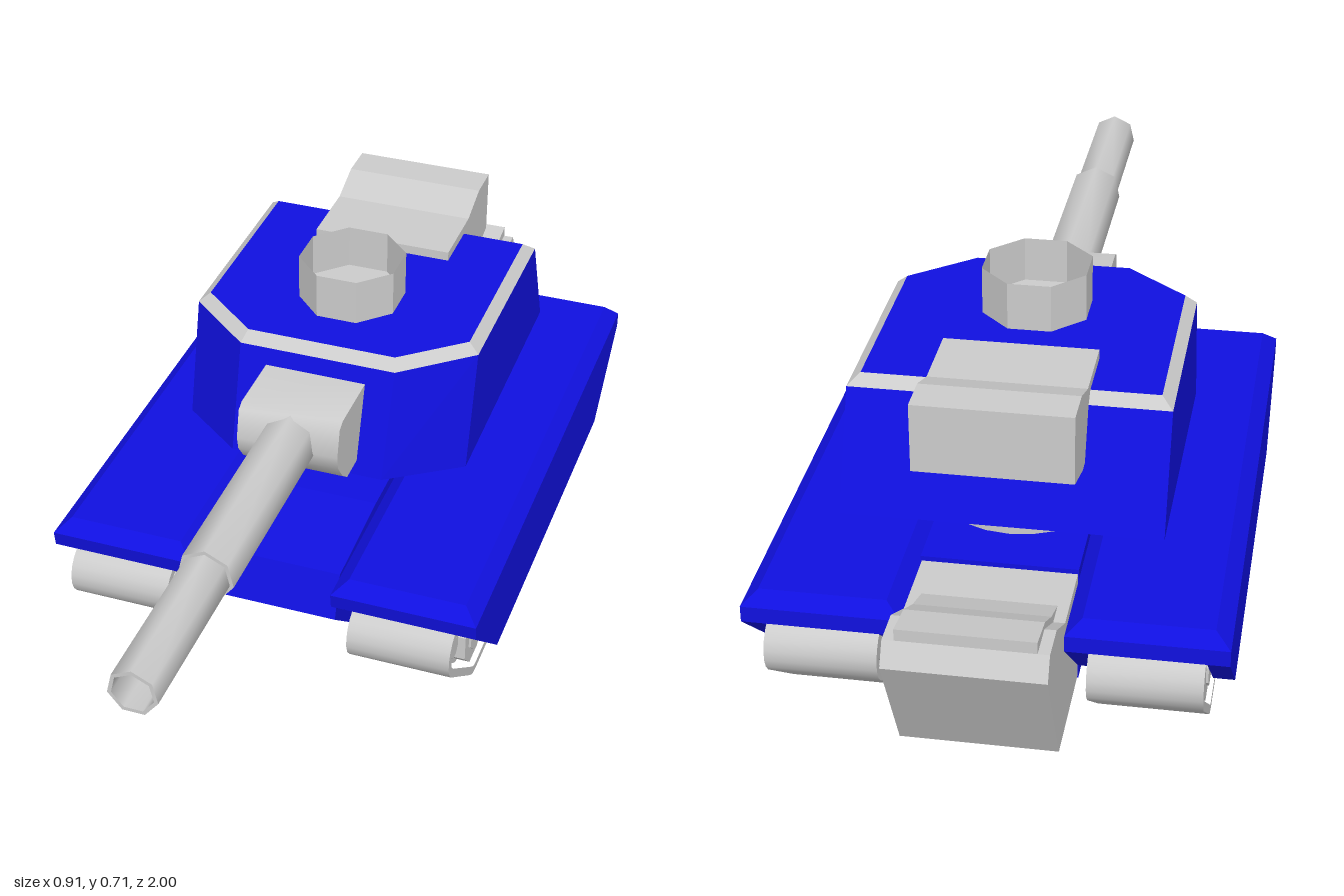
import * as THREE from 'three';
import { toCreasedNormals } from 'three/addons/utils/BufferGeometryUtils.js';

const grey = new THREE.MeshStandardMaterial({ color: 0xcccccc, flatShading: true });
const greySmooth = new THREE.MeshStandardMaterial({ color: 0xcccccc });
const greyOpen = new THREE.MeshStandardMaterial({ color: 0xcccccc, flatShading: true, side: THREE.DoubleSide });
const greyTube = new THREE.MeshStandardMaterial({ color: 0xcccccc, side: THREE.DoubleSide });
const blue = new THREE.MeshStandardMaterial({ color: 0x1010e0, flatShading: true });

const toShape = (pts) => new THREE.Shape(pts.map(([z, y]) => new THREE.Vector2(z, y)));

// Side profile of [z, y] points, extruded from x0 to x1
function prism(pts, x0, x1, hole) {
  const shape = toShape(pts);
  if (hole) shape.holes.push(toShape(hole));
  const geo = new THREE.ExtrudeGeometry(shape, { depth: x1 - x0, bevelEnabled: false });
  return geo.rotateY(-Math.PI / 2).translate(x1, 0, 0);
}

// Skin between rings of [x, y, z], each ordered front -> +x -> back -> -x
function loft(rings, capBottom, capTop) {
  const pos = [];
  const tri = (a, b, c) => pos.push(...a, ...b, ...c);
  const n = rings[0].length;
  for (let r = 0; r < rings.length - 1; r++) {
    for (let i = 0; i < n; i++) {
      const j = (i + 1) % n, a = rings[r], b = rings[r + 1];
      tri(a[i], a[j], b[j]);
      tri(a[i], b[j], b[i]);
    }
  }
  const top = rings[rings.length - 1], bot = rings[0];
  for (let i = 1; i < n - 1; i++) {
    if (capTop) tri(top[0], top[i], top[i + 1]);
    if (capBottom) tri(bot[0], bot[i + 1], bot[i]);
  }
  const geo = new THREE.BufferGeometry();
  geo.setAttribute('position', new THREE.Float32BufferAttribute(pos, 3));
  geo.computeVertexNormals();
  return geo;
}

function add(parent, name, geo, mat) {
  const mesh = new THREE.Mesh(geo, mat);
  mesh.name = name;
  parent.add(mesh);
}

const rectRing = (x0, x1, z0, z1, y) => [[x0, y, z1], [x1, y, z1], [x1, y, z0], [x0, y, z0]];

// Six-cornered turret outline: front edge, side corner and rear edge
function turretRing([fx, fy, fz], [sx, sy, sz], [rx, ry, rz]) {
  return [[-fx, fy, fz], [fx, fy, fz], [sx, sy, sz], [rx, ry, rz], [-rx, ry, rz], [-sx, sy, sz]];
}

// Track loop, drawn d inside its outer line
function trackLoop(d) {
  const r = 0.06 - d, pts = [];
  const arc = (cz, cy, a0, a1, steps) => {
    for (let i = 0; i <= steps; i++) {
      const a = THREE.MathUtils.degToRad(a0 + (a1 - a0) * i / steps);
      pts.push([cz + r * Math.cos(a), cy + r * Math.sin(a)]);
    }
  };
  arc(0.355, 0.185, 90, -50, 7);
  arc(0.2, 0.06, -50, -90, 2);
  arc(-0.63, 0.06, -90, -130, 2);
  arc(-0.785, 0.185, 230, 90, 7);
  return pts;
}

function trackUnit(s) {
  const unit = new THREE.Group();
  unit.name = s > 0 ? 'leftTrackUnit' : 'rightTrackUnit';
  const span = (a, b) => (s > 0 ? [a, b] : [-b, -a]);

  // Chamfered fender with a skirt on either side of the track
  const [f0, f1] = span(0.152, 0.455);
  add(unit, 'fender', loft([
    rectRing(f0, f1, -0.825, 0.385, 0.245),
    rectRing(f0, f1, -0.825, 0.39, 0.278),
    rectRing(f0 + 0.03, f1 - 0.03, -0.8, 0.36, 0.305),
  ], true, true), blue);
  const skirt = [[0.385, 0.245], [-0.825, 0.245], [-0.645, 0.083], [0.205, 0.083]];
  for (const [a, b] of [[0.413, 0.455], [0.152, 0.193]]) add(unit, 'skirt', prism(skirt, ...span(a, b)), blue);

  // Track band around a recessed web
  const band = prism(trackLoop(0), ...span(0.195, 0.41), trackLoop(0.018));
  add(unit, 'trackBand', toCreasedNormals(band, 0.8), greySmooth);
  add(unit, 'trackWeb', prism(trackLoop(0.017), ...span(0.235, 0.37)), grey);

  // Road wheels along the bottom, smaller wheels at the ends
  const disc = (name, z, y, r, width) => {
    const geo = new THREE.CylinderGeometry(r, r, width, 8);
    geo.rotateY(Math.PI / 8).rotateZ(Math.PI / 2).translate(s * 0.3025, y, z);
    add(unit, name, geo, grey);
  };
  const wheel = (name, z, y, r) => {
    disc(name, z, y, r, 0.195);
    disc(name + 'Hub', z, y, r * 0.6, 0.205);
  };
  for (let i = 0; i < 6; i++) wheel('roadWheel', 0.185 - i * 0.16, 0.095, 0.074);
  wheel('frontWheel', 0.355, 0.185, 0.04);
  wheel('rearWheel', -0.785, 0.185, 0.04);
  return unit;
}

export function createModel() {
  const model = new THREE.Group();
  model.name = 'tank';

  // Hull
  add(model, 'hull', prism([[0.1, 0.3], [-0.64, 0.3], [-0.64, 0.05], [0.2, 0.05], [0.36, 0.19], [0.33, 0.285]], -0.152, 0.152), blue);
  add(model, 'rearHull', prism([[-0.63, 0.29], [-0.8, 0.29], [-0.9, 0.345], [-0.975, 0.345], [-1, 0.3], [-0.872, 0.052], [-0.63, 0.052]], -0.15, 0.15), grey);
  add(model, 'rearHullPlate', prism([[-0.72, 0.28], [-0.82, 0.316], [-0.893, 0.355], [-0.975, 0.369], [-0.975, 0.34], [-0.9, 0.34], [-0.8, 0.28]], -0.128, 0.128), grey);

  for (const s of [1, -1]) model.add(trackUnit(s));

  // Turret
  const turret = new THREE.Group();
  turret.name = 'turret';
  model.add(turret);
  add(turret, 'turretRing', new THREE.CylinderGeometry(0.178, 0.178, 0.1, 24).translate(0, 0.33, -0.36), greySmooth);
  const base = turretRing([0.165, 0.37, 0.108], [0.31, 0.351, -0.02], [0.31, 0.372, -0.625]);
  const edge = turretRing([0.168, 0.595, 0.04], [0.31, 0.595, -0.08], [0.31, 0.595, -0.53]);
  const roof = turretRing([0.16, 0.615, 0.015], [0.287, 0.615, -0.092], [0.287, 0.615, -0.507]);
  add(turret, 'turretBody', loft([base, edge], true, false), blue);
  add(turret, 'turretRim', loft([edge, roof], false, false), grey);
  add(turret, 'turretRoof', loft([roof], false, true), blue);
  add(turret, 'turretBustle', prism([[-0.385, 0.635], [-0.54, 0.635], [-0.62, 0.664], [-0.7, 0.664], [-0.7, 0.525], [-0.6, 0.495], [-0.5, 0.495], [-0.385, 0.6]], -0.152, 0.152), grey);

  // Open octagonal hatch with a floor
  const hatch = new THREE.CylinderGeometry(0.113, 0.113, 0.098, 8, 1, true);
  add(turret, 'hatchWall', hatch.rotateY(Math.PI / 8).translate(0, 0.664, -0.185), greyOpen);
  const floor = new THREE.CircleGeometry(0.113, 8).rotateX(-Math.PI / 2).rotateY(Math.PI / 8);
  add(turret, 'hatchFloor', floor.translate(0, 0.62, -0.185), grey);

  // Gun mantlet and hollow two-step barrel
  const mantlet = prism([[0, 0.56], [0.19, 0.56], [0.208, 0.55], [0.222, 0.49], [0.216, 0.46], [0.19, 0.425], [0.16, 0.4], [0, 0.4]], -0.108, 0.108);
  add(turret, 'gunMantlet', toCreasedNormals(mantlet, 0.9), greySmooth);
  const profile = [[0.058, 0.18], [0.058, 0.66], [0.05, 0.66], [0.05, 1], [0.042, 1], [0.042, 0.75], [0, 0.75]];
  const barrel = new THREE.LatheGeometry(profile.map(([r, z]) => new THREE.Vector2(r, z)), 7);
  barrel.rotateY(Math.PI).rotateX(Math.PI / 2).translate(0, 0.497, 0);
  add(turret, 'gunBarrel', toCreasedNormals(barrel, 1.0), greyTube);
  return model;
}
